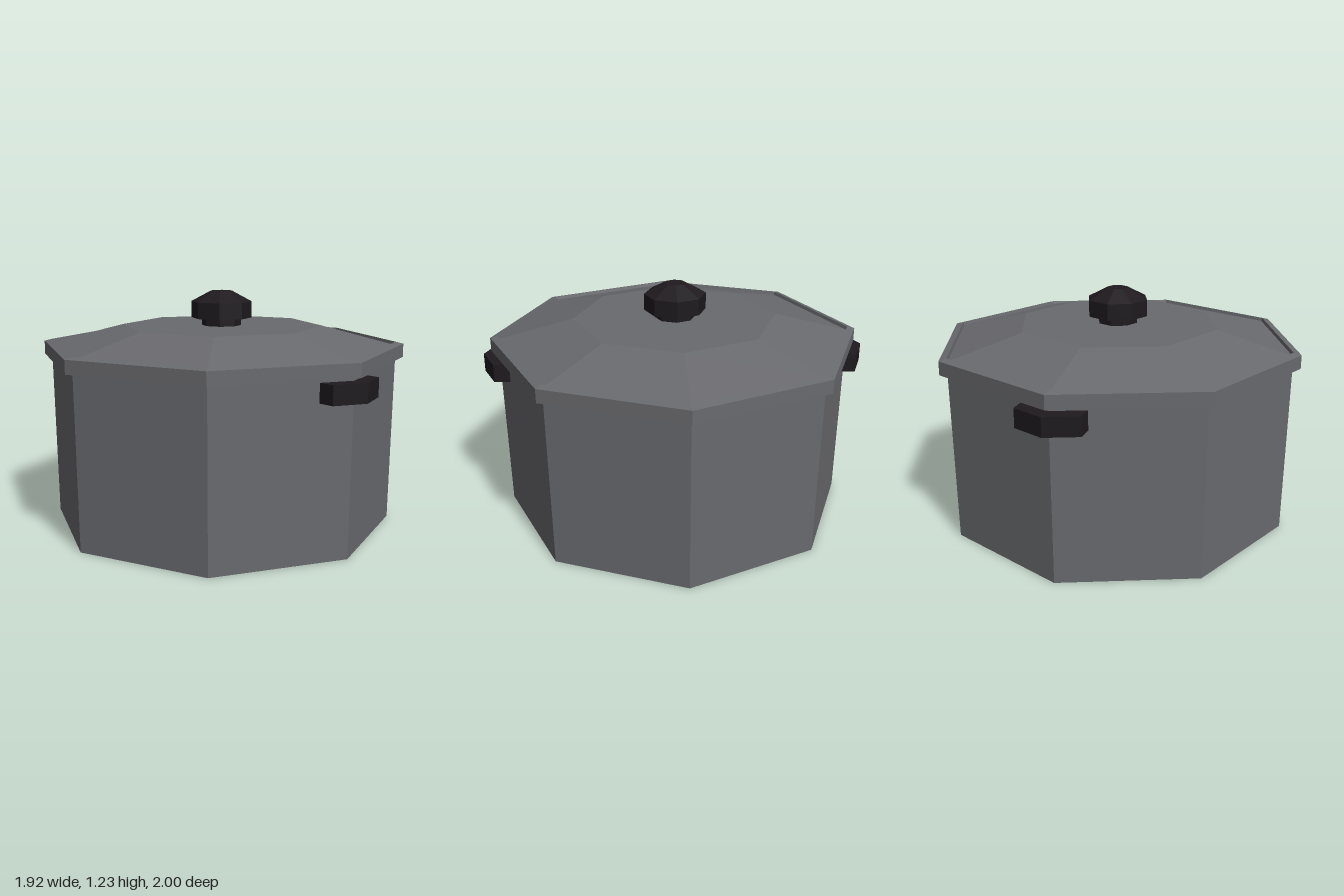
import * as THREE from 'three';

const metal = new THREE.MeshStandardMaterial({ color: 0x696a6e, flatShading: true });
const dark = new THREE.MeshStandardMaterial({ color: 0x1e1a1e, flatShading: true });

// Eight-sided turned part; profile runs from the bottom axis up to the top axis
function turned(name, profile, material) {
  const points = profile.map(([r, y]) => new THREE.Vector2(r, y));
  const mesh = new THREE.Mesh(new THREE.LatheGeometry(points, 8), material);
  mesh.name = name;
  return mesh;
}

// Bent grip that wraps a corner of the pot
function handle(name) {
  const w = 0.16, bend = w * Math.tan(Math.PI / 8);
  const inner = 0.92, outer = 1;
  const shape = new THREE.Shape([
    [-w, inner - bend], [0, inner], [w, inner - bend],
    [w, outer - bend], [0, outer], [-w, outer - bend],
  ].map(([x, z]) => new THREE.Vector2(x, z)));
  const geometry = new THREE.ExtrudeGeometry(shape, { depth: 0.095, bevelEnabled: false });
  geometry.rotateX(Math.PI / 2); // shape y becomes z, depth runs downwards
  geometry.translate(0, 0.865, 0);
  const mesh = new THREE.Mesh(geometry, dark);
  mesh.name = name;
  return mesh;
}

export function createModel() {
  const model = new THREE.Group();
  model.name = 'cookingPot';

  model.add(turned('potBody', [[0, 0], [0.91, 0], [0.92, 0.89], [0, 0.89]], metal));

  // Lid with a raised rim, a shallow step inside it and a flat crown
  model.add(turned('lid', [
    [0, 0.882], [0.96, 0.882], [0.96, 0.952], [0.92, 0.962],
    [0.915, 0.945], [0.53, 1.045], [0, 1.045],
  ], metal));

  // Knob on a short stem
  model.add(turned('knobStem', [[0, 1.04], [0.105, 1.04], [0.105, 1.09], [0, 1.09]], dark));
  model.add(turned('knob', [
    [0, 1.085], [0.16, 1.085], [0.16, 1.17], [0.055, 1.226], [0, 1.226],
  ], dark));

  const front = handle('frontHandle');
  const back = handle('backHandle');
  back.rotation.y = Math.PI;
  model.add(front, back);

  return model;
}
